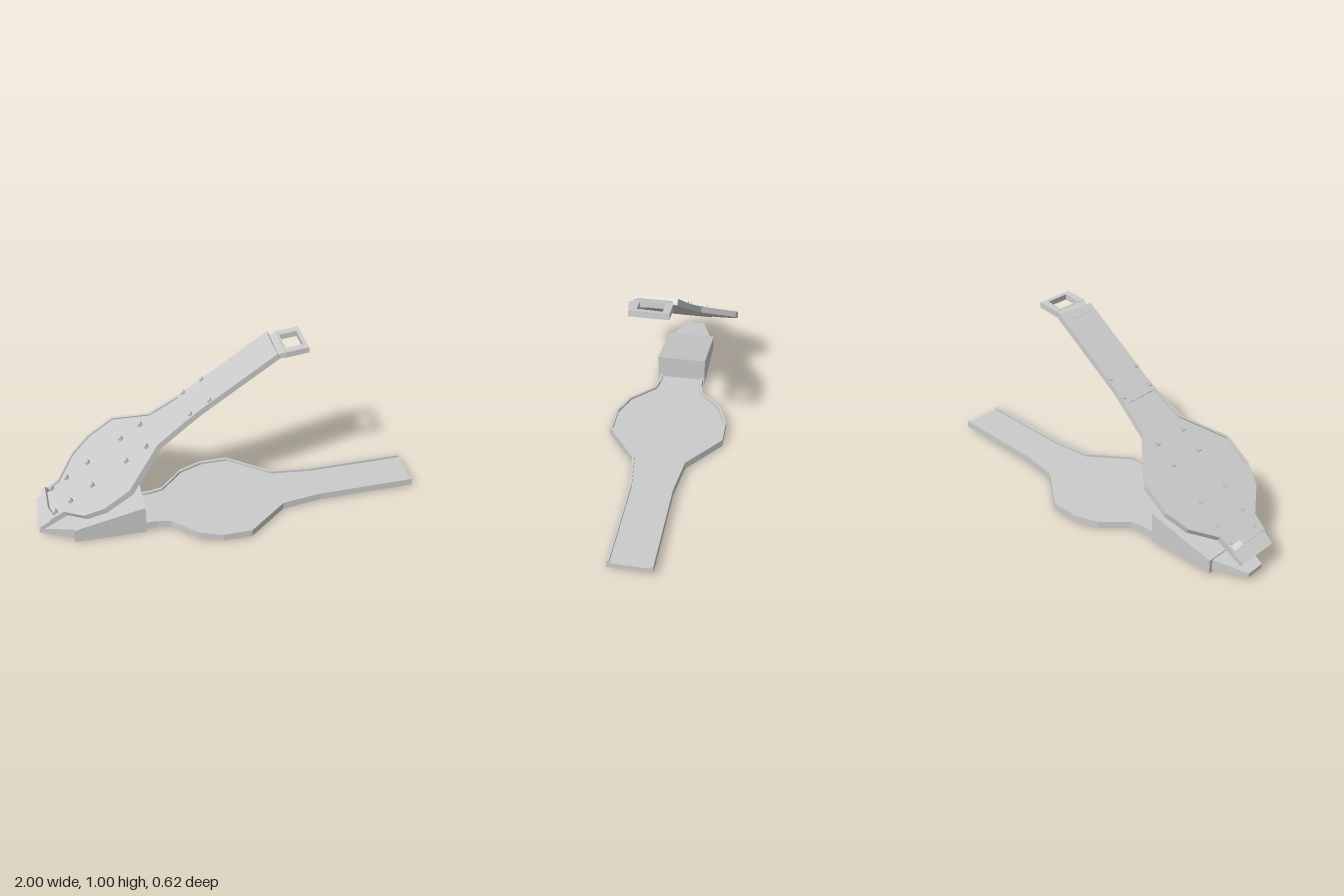
import * as THREE from 'three';

const grey = new THREE.MeshStandardMaterial({ color: 0xcccccc, flatShading: true });

function add(parent, name, geometry, x = 0, y = 0, z = 0) {
  const mesh = new THREE.Mesh(geometry, grey);
  mesh.name = name;
  mesh.position.set(x, y, z);
  parent.add(mesh);
  return mesh;
}

// Flat plate lying in x/z, from a list of [x, z] corners, with optional holes
function plate(corners, y0, y1, holes = []) {
  const toVec = ([x, z]) => new THREE.Vector2(x, -z);
  const shape = new THREE.Shape(corners.map(toVec));
  holes.forEach((h) => shape.holes.push(new THREE.Path(h.map(toVec))));
  const geo = new THREE.ExtrudeGeometry(shape, { depth: y1 - y0, bevelEnabled: false });
  return geo.rotateX(-Math.PI / 2).translate(0, y0, 0);
}

// Symmetric outline from [x, halfWidth] stations
function mirrored(stations) {
  return [...stations, ...stations.map(([x, w]) => [x, -w]).reverse()];
}

// Strip that follows one edge of the outline
function rim(stations, side, t, y0, y1) {
  const outer = stations.map(([x, w]) => [x, side * w]);
  const inner = stations.map(([x, w]) => [x, side * (w - t)]).reverse();
  return plate([...outer, ...inner], y0, y1);
}

// Box whose two x ends have their own [x, bottom, top, halfWidth]
function wedge(a, b) {
  const geo = new THREE.BoxGeometry(1, 1, 1);
  const p = geo.attributes.position;
  for (let i = 0; i < p.count; i++) {
    const [x, lo, hi, w] = p.getX(i) < 0 ? a : b;
    p.setXYZ(i, x, p.getY(i) < 0 ? lo : hi, Math.sign(p.getZ(i)) * w);
  }
  geo.computeVertexNormals();
  return geo;
}

function makeLowerArm() {
  const arm = new THREE.Group();
  arm.name = 'lowerArm';
  arm.position.z = -0.01;
  // shallow tray with raised side walls
  const tray = [[-0.5, 0.12], [-0.4, 0.122], [-0.33, 0.137], [-0.21, 0.255], [-0.09, 0.3],
    [0.06, 0.3], [0.27, 0.137], [0.48, 0.111], [1, 0.11]];
  add(arm, 'trayFloor', plate(mirrored(tray.map(([x, w]) => [x, w - 0.006])), 0.012, 0.037));
  for (const s of [1, -1]) add(arm, 'trayWall', rim(tray, s, 0.014, 0.01, 0.05));
  // wedge block and its tapered nose
  add(arm, 'wedgeBlock', wedge([-0.83, 0.01, 0.085, 0.132], [-0.46, 0, 0.165, 0.132]), 0, 0, 0.003);
  add(arm, 'nose', wedge([-1, 0.037, 0.06, 0.05], [-0.82, 0.018, 0.08, 0.115]), 0, 0, 0.003);
  return arm;
}

function makeUpperArm() {
  const arm = new THREE.Group();
  arm.name = 'upperArm';
  arm.position.set(-0.983, 0.119, 0.0075);
  arm.rotation.z = THREE.MathUtils.degToRad(34.9);

  // paddle that narrows into a long neck
  const body = [[0, 0.11], [0.07, 0.118], [0.16, 0.13], [0.27, 0.25], [0.386, 0.298],
    [0.544, 0.298], [0.753, 0.132], [0.93, 0.11], [1.015, 0.1025], [1.48, 0.1025]];
  add(arm, 'paddle', plate(mirrored(body), 0, 0.023));
  for (const s of [1, -1]) add(arm, 'paddleRim', rim(body.slice(1, 8), s, 0.016, 0.023, 0.031));
  add(arm, 'neckTop', plate(mirrored(body.slice(7)), 0.023, 0.03));

  // two rows of small pegs
  for (const u of [0.11, 0.21, 0.35, 0.565, 0.69, 0.965, 1.08]) {
    for (const s of [1, -1]) {
      add(arm, 'peg', new THREE.BoxGeometry(0.02, 0.022, 0.018), u, 0.031, s * 0.09 - 0.003);
    }
  }

  // open frame standing across the low end
  const arch = new THREE.Shape([[-0.115, 0], [-0.1, 0], [-0.07, 0.036], [0.07, 0.036],
    [0.1, 0], [0.115, 0], [0.08, 0.05], [-0.08, 0.05]].map(([x, y]) => new THREE.Vector2(x, y)));
  const archGeo = new THREE.ExtrudeGeometry(arch, { depth: 0.028, bevelEnabled: false });
  add(arm, 'bracket', archGeo.rotateY(Math.PI / 2), 0.072, 0.022, 0);
  return arm;
}

function makeHandle() {
  const handle = new THREE.Group();
  handle.name = 'handle';
  handle.position.z = 0.0125;
  // flared root, then a square loop
  add(handle, 'handleRoot', wedge([0.18, 0.945, 0.968, 0.07], [0.262, 0.962, 0.992, 0.095]));
  const rect = (x0, x1, w) => [[x0, w], [x1, w], [x1, -w], [x0, -w]];
  const loop = add(handle, 'handleLoop',
    plate(rect(0, 0.114, 0.095), 0, 0.03, [rect(0.008, 0.094, 0.06)]), 0.26, 0.962, 0);
  loop.rotation.z = 0.11;
  return handle;
}

export function createModel() {
  const model = new THREE.Group();
  model.name = 'hingedClamp';
  model.add(makeLowerArm(), makeUpperArm(), makeHandle());
  return model;
}
